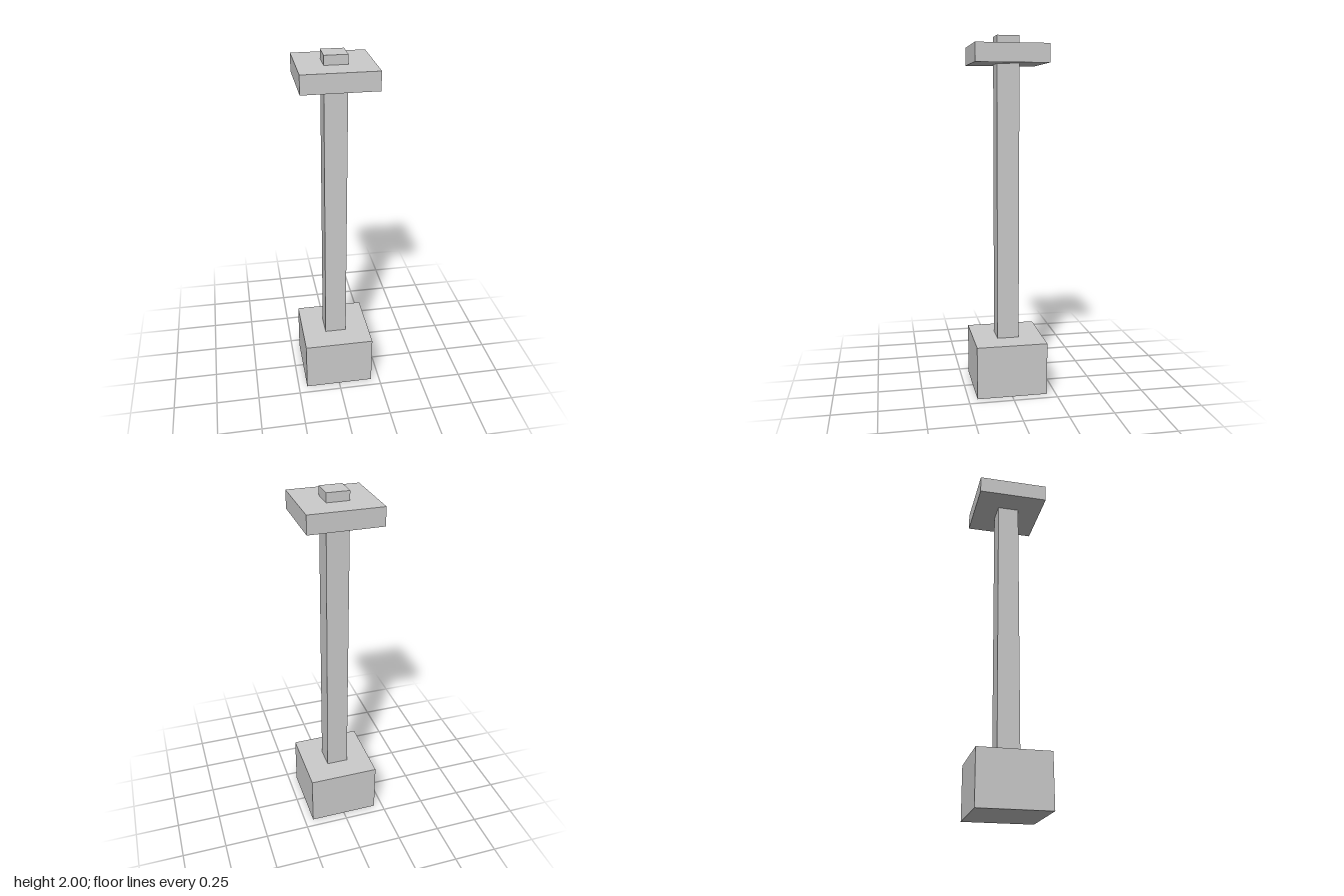
import * as THREE from 'three';

export function createModel() {
  const model = new THREE.Group();
  const material = new THREE.MeshStandardMaterial({ color: 0xcccccc, flatShading: true });

  // Square block spanning bottom to top in y
  const addBlock = (name, width, bottom, top) => {
    const mesh = new THREE.Mesh(new THREE.BoxGeometry(width, top - bottom, width), material);
    mesh.name = name;
    mesh.position.y = (bottom + top) / 2;
    model.add(mesh);
  };

  addBlock('base', 0.4, 0, 0.3);
  // The post runs through the cap plate and stands proud of it
  addBlock('post', 0.124, 0.3, 2);
  addBlock('capPlate', 0.4, 1.85, 1.95);

  return model;
}
